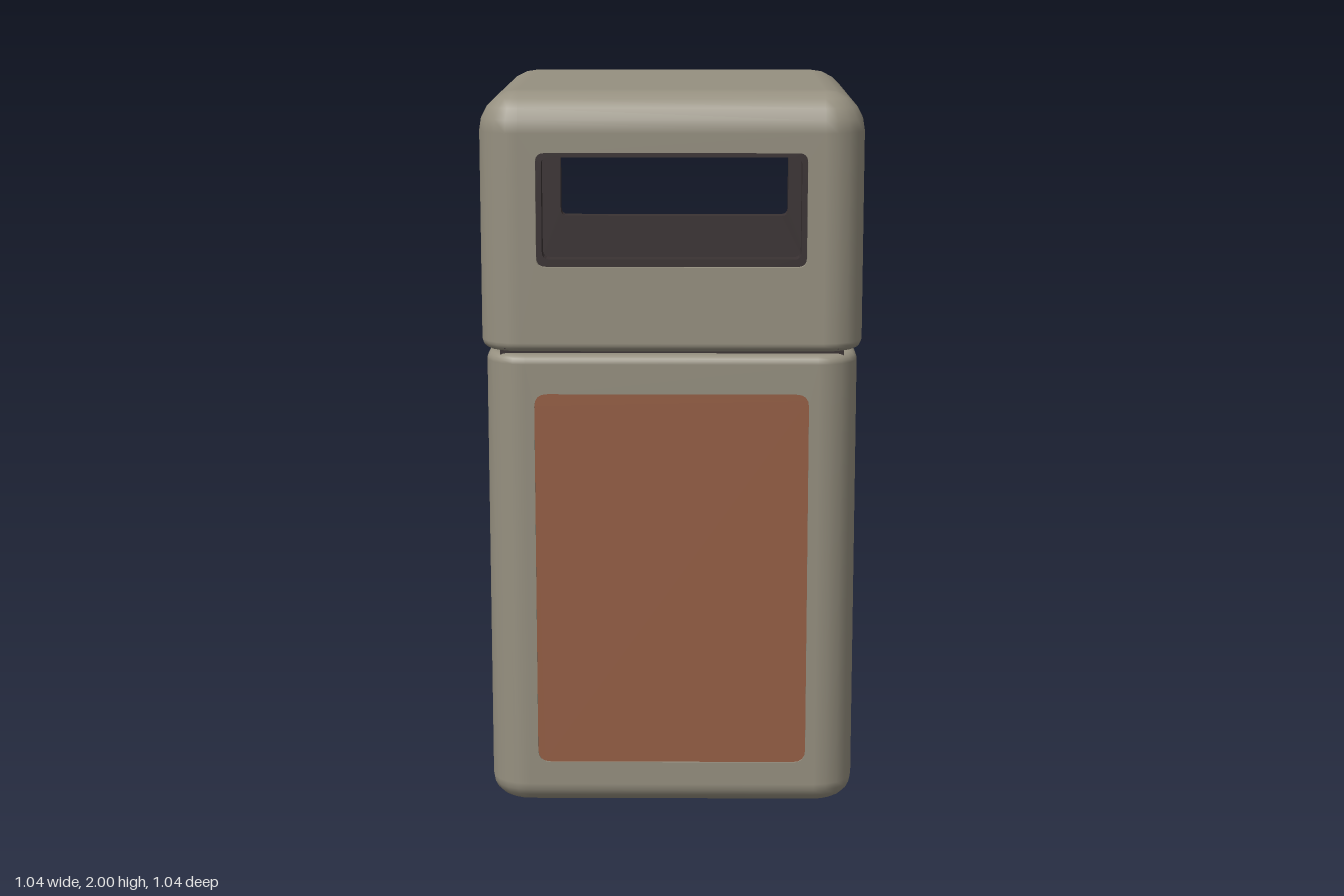
import * as THREE from 'three';

const mats = {
  frame: new THREE.MeshStandardMaterial({ color: 0x969080 }),
  panel: new THREE.MeshStandardMaterial({ color: 0x965f45 }),
  liner: new THREE.MeshStandardMaterial({ color: 0x3a3233 }),
};
for (const name in mats) mats[name].name = name;

const R = 0.11; // radius of the vertical corners

// Rounded square shell stacked from rings, with its four flat side faces left open
function shellGeometry(half, y0, y1, rBottom, rTop) {
  const n = 5, m = 5, ring = 4 * (n + 1);
  const pos = [], nor = [], idx = [];
  const addRing = (r, y, a) => {
    const inset = r * (1 - Math.cos(a));
    for (let k = 0; k < 4; k++) {
      const mid = (k + 0.5) * Math.PI / 2;
      const cx = Math.sign(Math.sin(mid)) * (half - R), cz = Math.sign(Math.cos(mid)) * (half - R);
      for (let s = 0; s <= n; s++) {
        const phi = (k + s / n) * Math.PI / 2, dx = Math.sin(phi), dz = Math.cos(phi);
        pos.push(cx + dx * (R - inset), y, cz + dz * (R - inset));
        nor.push(dx * Math.cos(a), Math.sin(a), dz * Math.cos(a));
      }
    }
  };
  for (let i = 0; i <= m; i++) {
    const a = (i / m - 1) * Math.PI / 2;
    addRing(rBottom, y0 + rBottom * (1 + Math.sin(a)), a);
  }
  for (let i = 0; i <= m; i++) {
    const a = i / m * Math.PI / 2;
    addRing(rTop, y1 - rTop * (1 - Math.sin(a)), a);
  }
  const rows = 2 * m + 2;
  for (let i = 0; i < rows - 1; i++) {
    for (let j = 0; j < ring; j++) {
      if (i === m && j % (n + 1) === n) continue;
      const a = i * ring + j, b = i * ring + (j + 1) % ring;
      idx.push(a, b, a + ring, b, b + ring, a + ring);
    }
  }
  // flat bottom and top
  const c = rows * ring, last = (rows - 1) * ring;
  pos.push(0, y0, 0, 0, y1, 0);
  nor.push(0, -1, 0, 0, 1, 0);
  for (let j = 0; j < ring; j++) {
    const k = (j + 1) % ring;
    idx.push(c, k, j, c + 1, last + j, last + k);
  }
  const g = new THREE.BufferGeometry();
  g.setAttribute('position', new THREE.Float32BufferAttribute(pos, 3));
  g.setAttribute('normal', new THREE.Float32BufferAttribute(nor, 3));
  g.setIndex(idx);
  return g;
}

// Rounded rectangle outline
function roundRect(path, w, y0, y1, r) {
  path.moveTo(-w + r, y0);
  path.lineTo(w - r, y0);
  path.quadraticCurveTo(w, y0, w, y0 + r);
  path.lineTo(w, y1 - r);
  path.quadraticCurveTo(w, y1, w - r, y1);
  path.lineTo(-w + r, y1);
  path.quadraticCurveTo(-w, y1, -w, y1 - r);
  path.lineTo(-w, y0 + r);
  path.quadraticCurveTo(-w, y0, -w + r, y0);
  return path;
}

// Flat wall with a rounded opening; its outer face lies at z = front
function wallGeometry(w, y0, y1, hole, front, depth) {
  const s = new THREE.Shape();
  s.moveTo(-w, y0);
  s.lineTo(w, y0);
  s.lineTo(w, y1);
  s.lineTo(-w, y1);
  s.closePath();
  s.holes.push(roundRect(new THREE.Path(), ...hole));
  return new THREE.ExtrudeGeometry(s, { depth, bevelEnabled: false, curveSegments: 4 })
    .translate(0, 0, front - depth);
}

export function createModel() {
  const model = new THREE.Group();
  model.name = 'litterBin';
  const add = (name, geometry, material) => {
    const mesh = new THREE.Mesh(geometry, material);
    mesh.name = name;
    model.add(mesh);
    return mesh;
  };
  const onFourSides = (name, geometry, material) => {
    for (let k = 0; k < 4; k++) add(name, geometry, material).rotation.y = k * Math.PI / 2;
  };

  // Lower body with inset panels
  const body = 0.51;
  add('bodyShell', shellGeometry(body, 0, 1.287, 0.06, 0.025), mats.frame);
  onFourSides('bodyWall',
    wallGeometry(body - R, 0.06, 1.262, [0.375, 0.125, 1.18, 0.035], body, 0.02), mats.frame);
  const panelShape = roundRect(new THREE.Shape(), 0.375, 0.125, 1.18, 0.035);
  onFourSides('sidePanel',
    new THREE.ShapeGeometry(panelShape, 4).translate(0, 0, body - 0.005), mats.panel);

  // Dark collar in the gap, also the floor of the hood
  add('collar', new THREE.BoxGeometry(0.94, 0.05, 0.94).translate(0, 1.285, 0), mats.liner);

  // Hood with an opening on every side
  const hood = 0.522;
  add('hoodShell', shellGeometry(hood, 1.297, 2, 0.025, R), mats.frame);
  onFourSides('hoodWall',
    wallGeometry(hood - R, 1.322, 2 - R, [0.365, 1.53, 1.838, 0.025], hood, 0.015), mats.frame);
  onFourSides('hoodLiner',
    wallGeometry(0.455, 1.305, 1.92, [0.35, 1.55, 1.825, 0.02], hood - 0.015, 0.05), mats.liner);
  add('hoodCeiling', new THREE.BoxGeometry(0.92, 0.01, 0.92).translate(0, 1.92, 0), mats.liner);

  return model;
}
